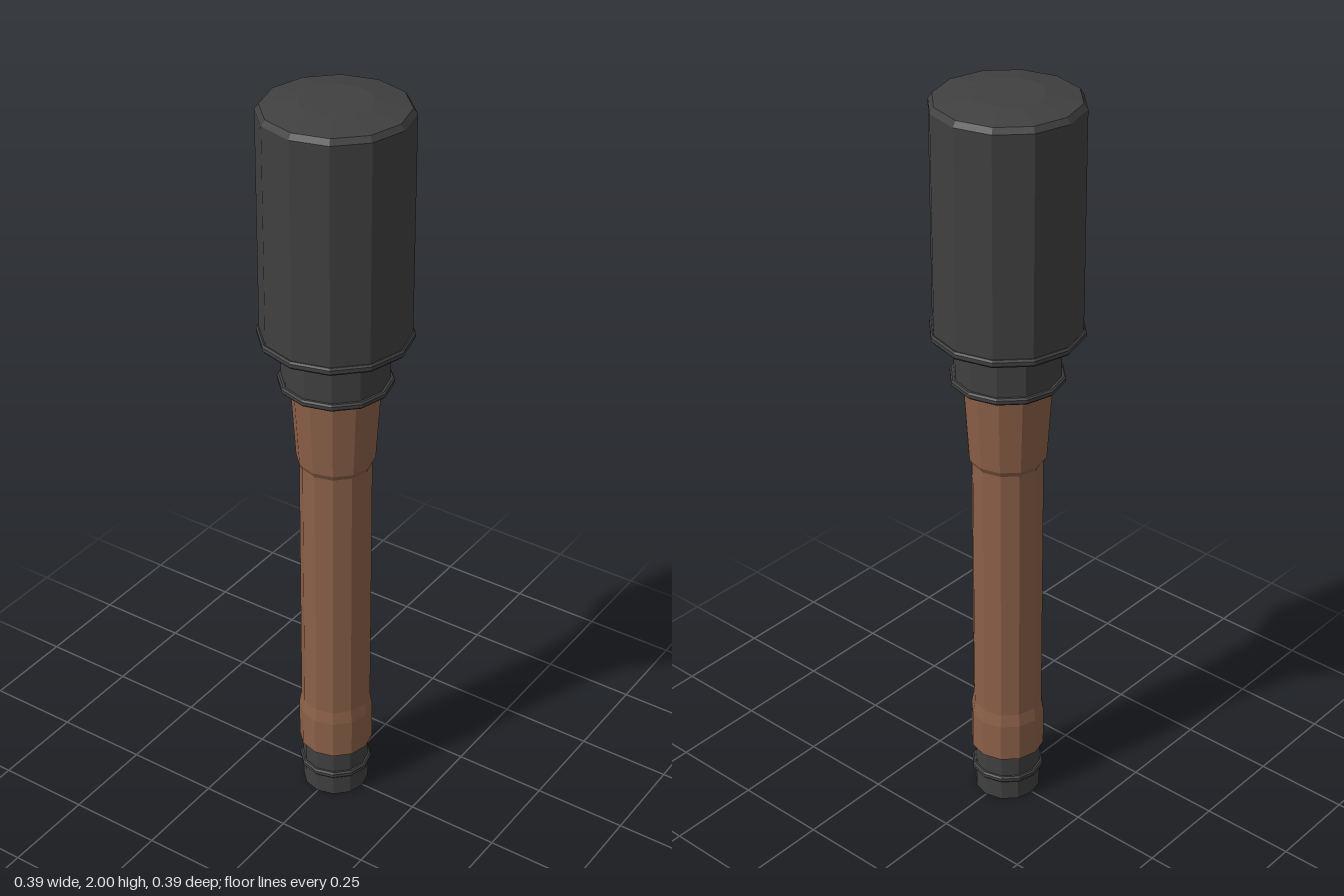
import * as THREE from 'three';

const SIDES = 12;

export function createModel() {
  const model = new THREE.Group();
  const metal = new THREE.MeshStandardMaterial({ color: 0x404040, flatShading: true });
  const wood = new THREE.MeshStandardMaterial({ color: 0x8b6048, flatShading: true });

  // Turned part: [radius, height] pairs from bottom to top
  function turned(name, material, profile) {
    const points = profile.map(([r, y]) => new THREE.Vector2(r, y));
    const mesh = new THREE.Mesh(new THREE.LatheGeometry(points, SIDES), material);
    mesh.name = name;
    model.add(mesh);
  }

  // Thin raised band with bevelled edges around a part
  function band(name, inner, outer, y, height) {
    turned(name, metal, [
      [inner, y - height / 2], [outer - 0.004, y - height / 2], [outer, y - height / 4],
      [outer, y + height / 4], [outer - 0.004, y + height / 2], [inner, y + height / 2],
    ]);
  }

  // Screw cap at the foot of the handle
  turned('endCap', metal, [[0, 0], [0.088, 0], [0.088, 0.145], [0, 0.145]]);
  band('endCapBand', 0.08, 0.097, 0.07, 0.018);

  // Handle with a thicker foot and a flared neck
  turned('handle', wood, [
    [0, 0.142], [0.098, 0.142], [0.098, 0.25], [0.092, 0.285],
    [0.092, 1.025], [0.1, 1.04], [0.114, 1.26], [0, 1.26],
  ]);

  // Collar joining the handle to the head
  turned('collar', metal, [[0, 1.258], [0.135, 1.258], [0.135, 1.39], [0, 1.39]]);
  band('collarLowerBand', 0.12, 0.145, 1.265, 0.018);
  band('collarUpperBand', 0.12, 0.145, 1.375, 0.014);

  // Cylindrical head with a bevelled, slightly domed top
  turned('head', metal, [
    [0, 1.387], [0.187, 1.387], [0.187, 1.972], [0.177, 1.986], [0.09, 2], [0, 2],
  ]);
  band('headRim', 0.17, 0.194, 1.395, 0.02);

  return model;
}
